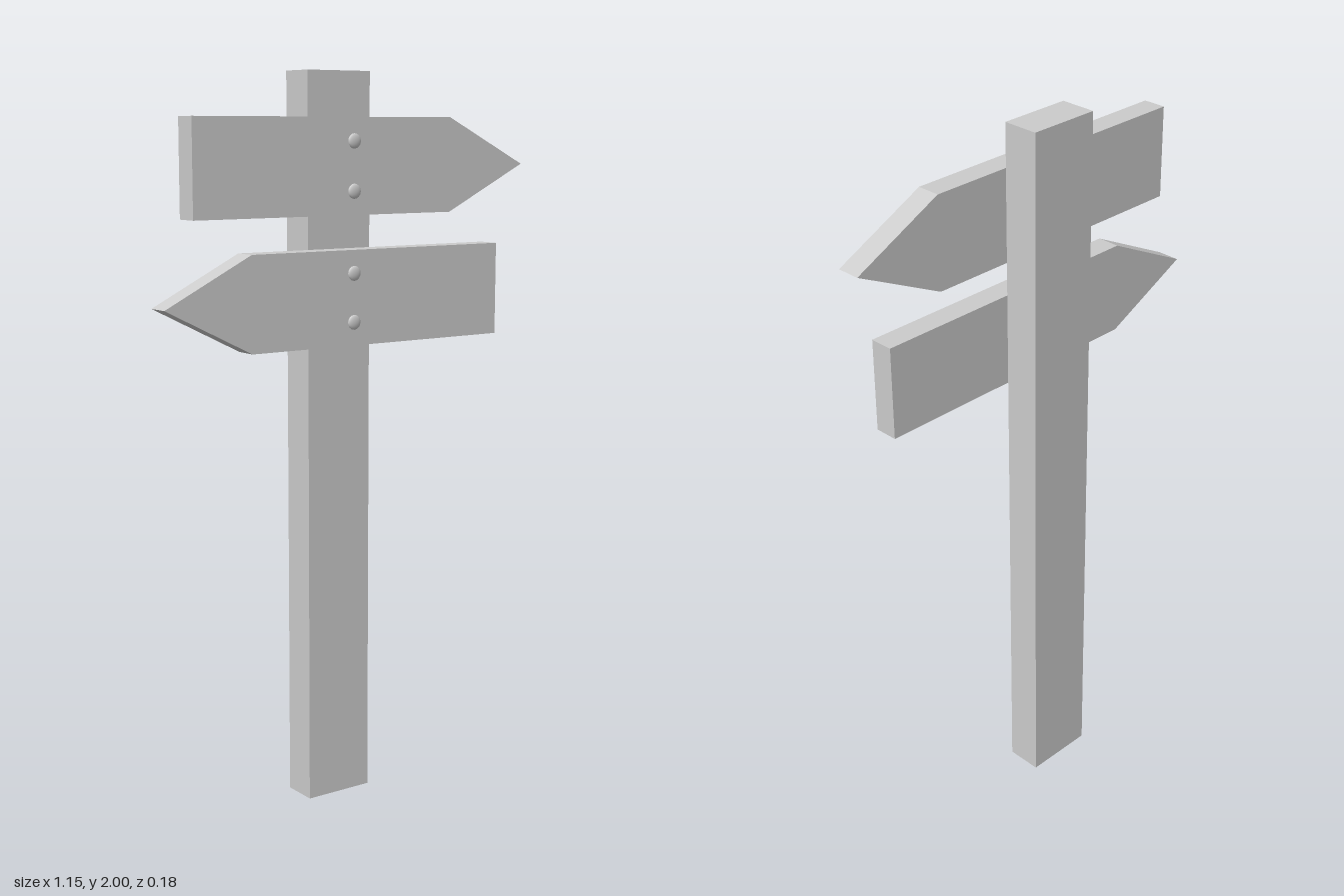
import * as THREE from 'three';

const BOARD_BACK = 0.015;
const BOARD_FRONT = 0.08;

export function createModel() {
  const model = new THREE.Group();
  model.name = 'signpost';
  const material = new THREE.MeshStandardMaterial({ color: 0xcccccc });

  const addMesh = (parent, name, geometry, x, y, z) => {
    const mesh = new THREE.Mesh(geometry, material);
    mesh.name = name;
    mesh.position.set(x, y, z);
    parent.add(mesh);
    return mesh;
  };

  // Upright post
  addMesh(model, 'post', new THREE.BoxGeometry(0.2, 2, 0.1), 0, 1, -0.04);

  // Domed nail head, its axis turned to face the front
  const nailGeometry = new THREE.SphereGeometry(0.02, 16, 6, 0, Math.PI * 2, 0, Math.PI / 2)
    .scale(1, 0.4, 1)
    .rotateX(Math.PI / 2);

  // Arrow board pointing along side * x, held by two nails
  const addSign = (name, side, y) => {
    const sign = new THREE.Group();
    sign.name = name;
    sign.position.y = y;
    model.add(sign);

    const outline = new THREE.Shape(
      [[-0.49, -0.127], [0.32, -0.127], [0.576, 0], [0.32, 0.127], [-0.49, 0.127]]
        .map(([px, py]) => new THREE.Vector2(px * side, py))
    );
    const board = new THREE.ExtrudeGeometry(outline, {
      depth: BOARD_FRONT - BOARD_BACK,
      bevelEnabled: false,
    });
    addMesh(sign, 'arrowBoard', board, 0, 0, BOARD_BACK);

    for (const offset of [0.065, -0.065]) {
      addMesh(sign, 'nailHead', nailGeometry, 0, offset, BOARD_FRONT);
    }
  };

  addSign('upperSign', 1, 1.753);
  addSign('lowerSign', -1, 1.408);

  return model;
}
